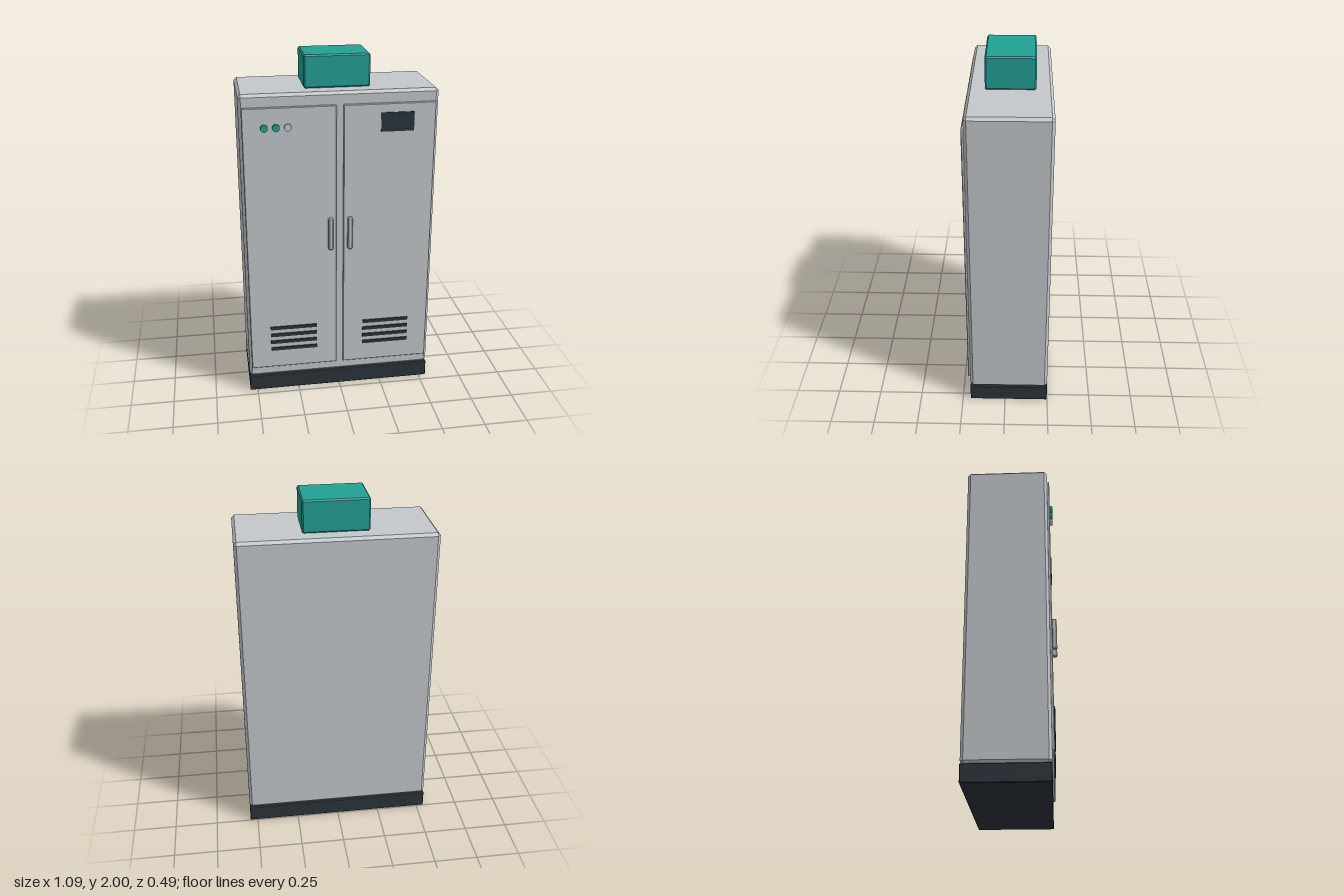
import * as THREE from 'three';
import { ConvexGeometry } from 'three/addons/geometries/ConvexGeometry.js';

const paint = (name, color) => {
  const m = new THREE.MeshStandardMaterial({ color });
  m.name = name;
  return m;
};

// Box with 45 degree chamfered edges, given by its min and max corners
function chamferBox([x0, y0, z0], [x1, y1, z1], c) {
  const h = [(x1 - x0) / 2, (y1 - y0) / 2, (z1 - z0) / 2];
  const points = [];
  for (const sx of [-1, 1]) for (const sy of [-1, 1]) for (const sz of [-1, 1]) {
    for (let axis = 0; axis < 3; axis++) {
      const inset = [0, 1, 2].map((i) => h[i] - (i === axis ? 0 : c));
      points.push(new THREE.Vector3(sx * inset[0], sy * inset[1], sz * inset[2]));
    }
  }
  return new ConvexGeometry(points).translate((x0 + x1) / 2, (y0 + y1) / 2, (z0 + z1) / 2);
}

export function createModel() {
  const group = new THREE.Group();
  group.name = 'controlCabinet';
  const grey = paint('cabinetGrey', 0xc4c8cb);
  const dark = paint('darkSlate', 0x2b343b);
  const teal = paint('teal', 0x22a195);

  const add = (name, geometry, material) => {
    const mesh = new THREE.Mesh(geometry, material);
    mesh.name = name;
    group.add(mesh);
    return mesh;
  };
  const block = (name, min, max, c, material) => add(name, chamferBox(min, max, c), material);

  // Plinth, cabinet body and roof unit
  block('plinth', [-0.544, 0, -0.248], [0.544, 0.097, 0.204], 0.003, dark);
  block('body', [-0.544, 0.097, -0.248], [0.544, 1.82, 0.204], 0.016, grey);
  block('roofUnit', [-0.182, 1.82, -0.158], [0.182, 2, 0.112], 0.008, teal);

  // Mirrored doors, handles and vent slats
  for (const [side, s] of [['right', -1], ['left', 1]]) {
    const span = (a, b) => (s > 0 ? [a, b] : [-b, -a]);
    const [d0, d1] = span(0.019, 0.529);
    block(side + 'Door', [d0, 0.16, 0.2], [d1, 1.75, 0.217], 0.004, grey);
    const [h0, h1] = span(0.041, 0.069);
    block(side + 'Handle', [h0, 0.915, 0.215], [h1, 1.108, 0.245], 0.006, grey);
    const [v0, v1] = span(0.137, 0.411);
    for (let i = 0; i < 4; i++) {
      const slat = new THREE.BoxGeometry(v1 - v0, 0.02, 0.008);
      add(side + 'VentSlat' + (i + 1), slat, dark)
        .position.set((v0 + v1) / 2, 0.285 + i * 0.0463, 0.2195);
    }
  }

  // Display panel on the left door
  add('display', new THREE.BoxGeometry(0.182, 0.106, 0.008), dark).position.set(0.316, 1.647, 0.2195);

  // Indicator lamps on the right door
  [teal, teal, grey].forEach((material, i) => {
    const lamp = new THREE.CylinderGeometry(0.02, 0.02, 0.017, 20).rotateX(Math.PI / 2);
    add('indicatorLamp' + (i + 1), lamp, material).position.set(-0.411 + i * 0.0635, 1.64, 0.2235);
  });

  return group;
}
